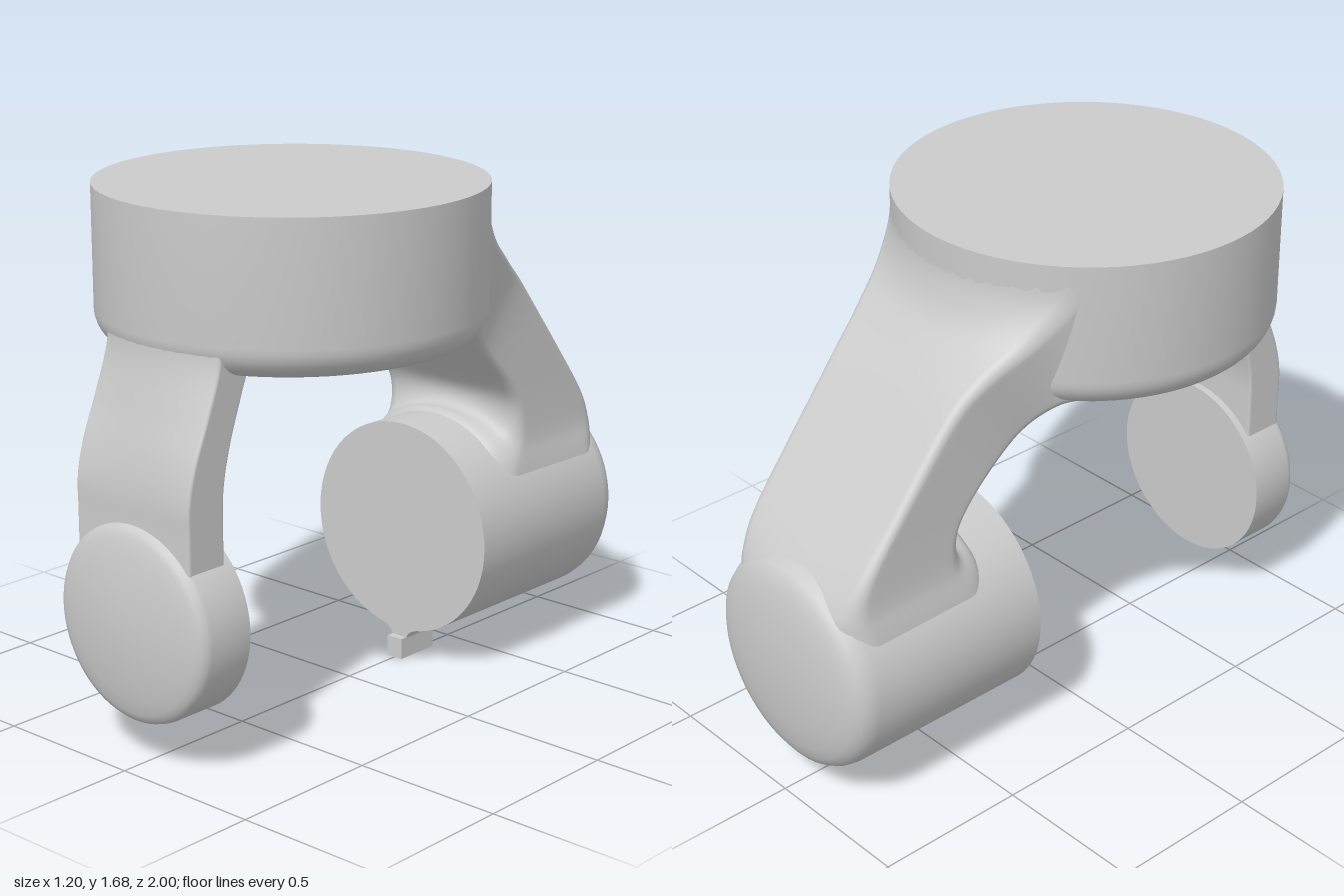
import * as THREE from 'three';
import { toCreasedNormals } from 'three/addons/utils/BufferGeometryUtils.js';

const material = new THREE.MeshStandardMaterial({ color: 0xcccccc });

function part(name, geometry) {
  const mesh = new THREE.Mesh(geometry, material);
  mesh.name = name;
  return mesh;
}

// Turned solid with crisp rims; profile is [radius, height] from bottom to top
function turned(profile) {
  const lathe = new THREE.LatheGeometry(profile.map(([r, h]) => new THREE.Vector2(r, h)), 72);
  return toCreasedNormals(lathe, 0.6);
}

// Quarter-round profile points from angle a0 to a1
function arc(cx, cy, r, a0, a1, n = 8) {
  return Array.from({ length: n + 1 }, (_, i) => {
    const a = a0 + (a1 - a0) * i / n;
    return [cx + r * Math.cos(a), cy + r * Math.sin(a)];
  });
}

// Lofted arm. Each section: outer z, y; inner z, y; half width, corner radius,
// outer bend (follows the round base), inner drop (follows the round drum)
function loftArm(sections, mirror) {
  const curve = (f) => new THREE.CatmullRomCurve3(
    sections.map((s) => new THREE.Vector3(...f(s))), false, 'catmullrom');
  const outer = curve((s) => [s[6], s[1], s[0]]);
  const inner = curve((s) => [s[7], s[3], s[2]]);
  const shape = curve((s) => [s[4], s[5], 0]);
  const rows = 48, flat = 12, round = 6;
  const positions = [], index = [];
  let ringSize = 0;
  for (let i = 0; i <= rows; i++) {
    const t = i / rows;
    const o = outer.getPoint(t), n = inner.getPoint(t), { x: w, y: r } = shape.getPoint(t);
    const depth = Math.hypot(o.y - n.y, o.z - n.z);
    const corners = [[w - r, r, -90], [w - r, depth - r, 0], [r - w, depth - r, 90], [r - w, r, 180]];
    const ring = [];
    corners.forEach(([cx, cd, start], k) => {
      const end = [];
      for (let j = 0; j <= round; j++) {
        const a = THREE.MathUtils.degToRad(start + 90 * j / round);
        end.push([cx + r * Math.cos(a), cd + r * Math.sin(a)]);
      }
      ring.push(...end);
      // straight side leading to the next corner
      const [nx, nd, ns] = corners[(k + 1) % 4];
      const a = THREE.MathUtils.degToRad(ns);
      const to = [nx + r * Math.cos(a), nd + r * Math.sin(a)], from = end[round];
      for (let j = 1; j < flat; j++) {
        ring.push(from.map((v, c) => v + (to[c] - v) * j / flat));
      }
    });
    ringSize = ring.length;
    for (const [x, d] of ring) {
      const u = d / depth;
      const bend = 0.6 - Math.sqrt(Math.max(0, 0.36 - x * x));
      const drop = 0.355 - Math.sqrt(Math.max(0, 0.126 - x * x));
      positions.push(mirror ? -x : x,
        o.y + (n.y - o.y) * u - n.x * u * drop,
        o.z + (n.z - o.z) * u + o.x * (1 - u) * bend);
    }
  }
  for (let i = 0; i < rows; i++) {
    for (let j = 0; j < ringSize; j++) {
      const a = i * ringSize + j, b = i * ringSize + (j + 1) % ringSize;
      index.push(a, b, a + ringSize, b, b + ringSize, a + ringSize);
    }
  }
  const g = new THREE.BufferGeometry();
  g.setAttribute('position', new THREE.Float32BufferAttribute(positions, 3));
  g.setIndex(index);
  g.computeVertexNormals();
  return g;
}

export function createModel() {
  const model = new THREE.Group();
  model.name = 'bracket';

  // Round base with a filleted lower rim
  const base = part('base', turned([
    [0, 1.2], ...arc(0.5, 1.3, 0.1, -Math.PI / 2, 0), [0.6, 1.68], [0, 1.68]]));
  base.position.z = 0.26;
  model.add(base);

  // Rear drum, flat inside and softly domed at the back
  const drum = turned([[0, 0.25], [0.355, 0.25], [0.355, 0.89],
    [0.35, 0.92], [0.335, 0.945], [0.31, 0.962], [0.27, 0.975], [0.2, 0.988], [0.1, 0.997], [0, 1]]);
  drum.rotateX(-Math.PI / 2).translate(0, 0.45, 0);
  model.add(part('rearDrum', drum));

  // Front disc with a rounded, domed face
  const disc = turned([[0, 0.775], [0.31, 0.775], [0.31, 0.93],
    [0.306, 0.945], [0.295, 0.958], [0.275, 0.967], [0.23, 0.978], [0.15, 0.991], [0.07, 0.998], [0, 1]]);
  disc.rotateX(Math.PI / 2).translate(0, 0.45, 0);
  model.add(part('frontDisc', disc));

  // Rear arm, flaring into the base and the drum
  model.add(part('rearArm', loftArm([
    [-0.335, 1.66, 0.0, 1.25, 0.45, 0.04, 1, 0],
    [-0.345, 1.55, -0.1, 1.21, 0.41, 0.04, 0.95, 0],
    [-0.38, 1.45, -0.17, 1.19, 0.36, 0.04, 0.7, 0],
    [-0.45, 1.36, -0.25, 1.135, 0.31, 0.035, 0.3, 0],
    [-0.54, 1.255, -0.33, 1.06, 0.285, 0.03, 0, 0],
    [-0.75, 0.995, -0.45, 0.945, 0.28, 0.03, 0, 0],
    [-0.88, 0.835, -0.5, 0.875, 0.28, 0.04, 0.1, 0.2],
    [-0.95, 0.73, -0.485, 0.82, 0.285, 0.06, 0.4, 0.6],
    [-0.977, 0.64, -0.41, 0.795, 0.305, 0.08, 0.7, 1],
    [-0.985, 0.45, -0.4, 0.6, 0.34, 0.08, 0.8, 1],
  ], false)));

  // Front arm, a flat curved strap
  model.add(part('frontArm', loftArm([
    [0.855, 1.4, 0.6, 1.3, 0.235, 0.01, -1, 0],
    [0.857, 1.25, 0.68, 1.23, 0.235, 0.01, -1, 0],
    [0.89, 1.1, 0.735, 1.1, 0.235, 0.01, -0.6, 0],
    [0.925, 0.97, 0.775, 0.98, 0.235, 0.01, -0.2, 0],
    [0.943, 0.86, 0.797, 0.87, 0.235, 0.01, 0, 0],
    [0.945, 0.75, 0.8, 0.75, 0.235, 0.01, 0, 0],
    [0.945, 0.55, 0.8, 0.55, 0.235, 0.01, 0, 0],
  ], true)));

  // Small peg under the drum on a flared neck
  const peg = new THREE.BoxGeometry(0.06, 0.07, 0.16);
  peg.translate(0, 0.035, -0.305);
  model.add(part('peg', peg));
  const neck = new THREE.Shape();
  neck.moveTo(-0.03, 0.065);
  neck.lineTo(0.03, 0.065);
  neck.quadraticCurveTo(0.032, 0.092, 0.08, 0.105);
  neck.lineTo(0.08, 0.14);
  neck.lineTo(-0.08, 0.14);
  neck.lineTo(-0.08, 0.105);
  neck.quadraticCurveTo(-0.032, 0.092, -0.03, 0.065);
  const neckGeometry = new THREE.ExtrudeGeometry(neck, { depth: 0.14, bevelEnabled: false });
  neckGeometry.translate(0, 0, -0.39);
  model.add(part('pegNeck', neckGeometry));

  return model;
}
